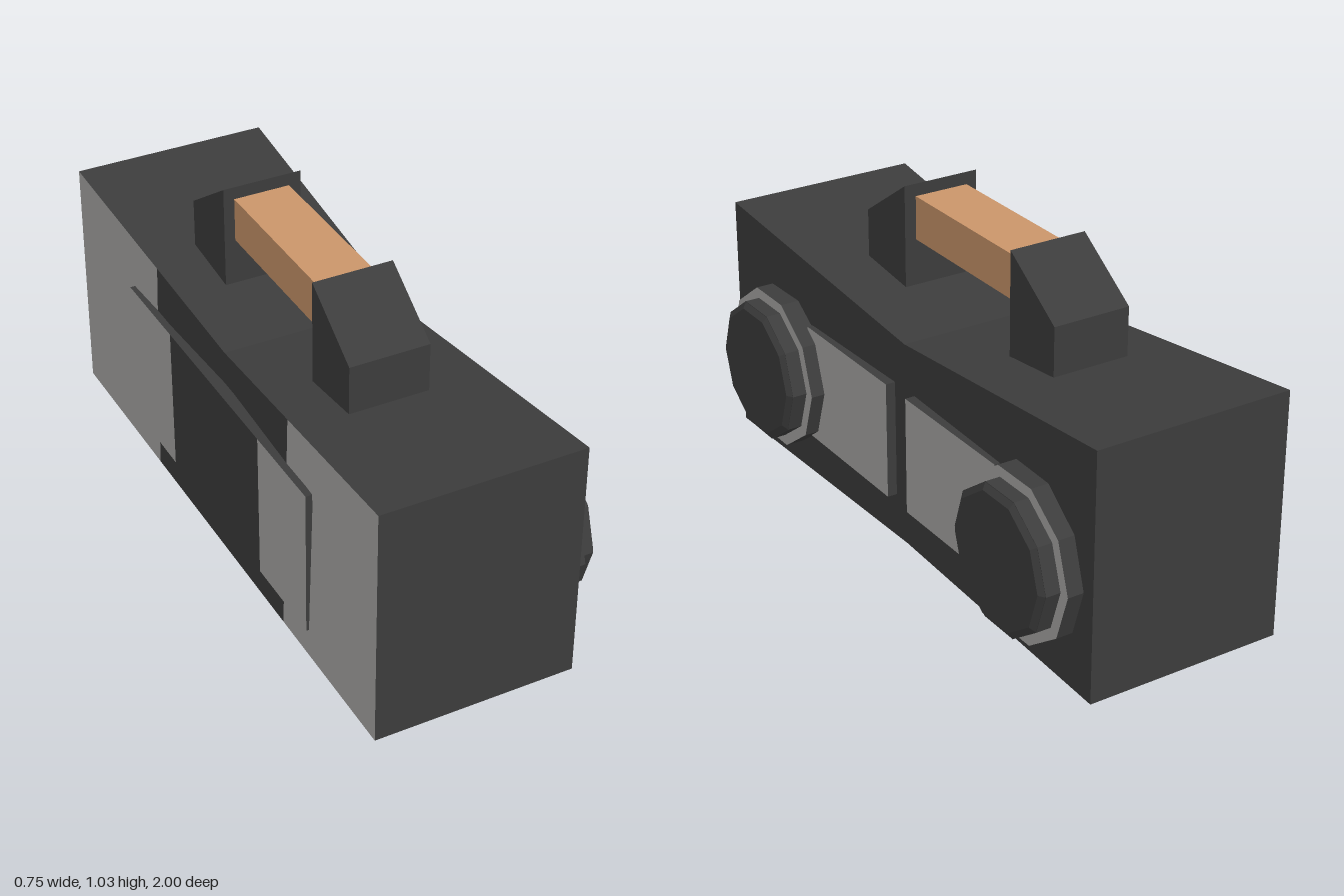
import * as THREE from 'three';

export function createModel() {
  const mat = (name, color) => {
    const m = new THREE.MeshStandardMaterial({ color, flatShading: true });
    m.name = name;
    return m;
  };
  const dark = mat('charcoal', 0x3c3c3c);
  const grey = mat('light grey', 0xa9a8a6);
  const wood = mat('tan', 0xca956a);

  const root = new THREE.Group();
  const add = (name, geo, material, x = 0, y = 0, z = 0, parent = root) => {
    const m = new THREE.Mesh(geo, material);
    m.name = name;
    m.position.set(x, y, z);
    parent.add(m);
    return m;
  };

  // Case: four-cornered sections along z, pinched in the middle
  const lerp = THREE.MathUtils.lerp;
  const section = (z) => {
    const t = Math.abs(z);
    const front = lerp(0.237, 0.265, t), top = lerp(0.67, 0.78, t);
    return [[-0.372, 0, z], [front, 0, z], [front, top, z], [lerp(-0.335, -0.372, t), top, z]];
  };
  const stations = [-1, -0.44, 0, 0.44, 1];
  const pos = [];
  const body = new THREE.BufferGeometry();
  const quad = (a, b, c, d, m) => {
    body.addGroup(pos.length / 3, 6, m);
    pos.push(...a, ...b, ...c, ...a, ...c, ...d);
  };
  for (let i = 0; i < 4; i++) {
    const s = section(stations[i]), e = section(stations[i + 1]);
    for (let k = 0; k < 4; k++) {
      const n = (k + 1) % 4;
      // outer parts of the back wall are grey
      quad(s[k], s[n], e[n], e[k], k === 3 && (i === 0 || i === 3) ? 1 : 0);
    }
  }
  const e0 = section(-1), e1 = section(1);
  quad(e0[3], e0[2], e0[1], e0[0], 0);
  quad(e1[0], e1[1], e1[2], e1[3], 0);
  body.setAttribute('position', new THREE.Float32BufferAttribute(pos, 3));
  body.computeVertexNormals();
  add('case', body, [dark, grey]);

  // Back cover: dark centre with grey ends
  add('backCover', new THREE.BoxGeometry(0.04, 0.48, 0.6), dark, -0.358, 0.33, 0);
  for (const s of [-1, 1]) {
    add('backCoverEnd', new THREE.BoxGeometry(0.04, 0.48, 0.3),
      [dark, grey, dark, dark, dark, dark], -0.358, 0.33, s * 0.45);
  }

  // Handle bar
  add('handleBar', new THREE.BoxGeometry(0.18, 0.14, 0.57), wood, -0.07, 0.92, 0);

  // Handle post profile: u runs outward along z
  const post = new THREE.Shape([[0.285, 0.68], [0.505, 0.68], [0.505, 0.88], [0.285, 1.03]]
    .map(([u, v]) => new THREE.Vector2(u, v)));
  // Speaker ring, cone and bevelled cap, all ten-sided and facing +x
  const disc = (rFront, rBack, h) =>
    new THREE.CylinderGeometry(rFront, rBack, h, 10).rotateZ(-Math.PI / 2);

  for (const s of [-1, 1]) {
    const postGeo = new THREE.ExtrudeGeometry(post, { depth: 0.253, bevelEnabled: false });
    postGeo.translate(0, 0, -0.1265).rotateY(s * -Math.PI / 2);
    add('handlePost', postGeo, dark, -0.068, 0, 0);

    add('frontPanel', new THREE.BoxGeometry(0.04, 0.38, 0.475),
      [grey, dark, dark, dark, dark, dark], 0.25, 0.335, s * 0.2925);

    const speaker = new THREE.Group();
    speaker.name = 'speaker';
    speaker.position.set(0, 0.33, s * 0.695);
    root.add(speaker);
    add('speakerRing', disc(0.26, 0.26, 0.075), [dark, grey, dark], 0.2775, 0, 0, speaker);
    add('speakerCone', disc(0.226, 0.226, 0.048), dark, 0.338, 0, 0, speaker);
    add('speakerCap', disc(0.205, 0.226, 0.014), dark, 0.368, 0, 0, speaker);
  }
  return root;
}
